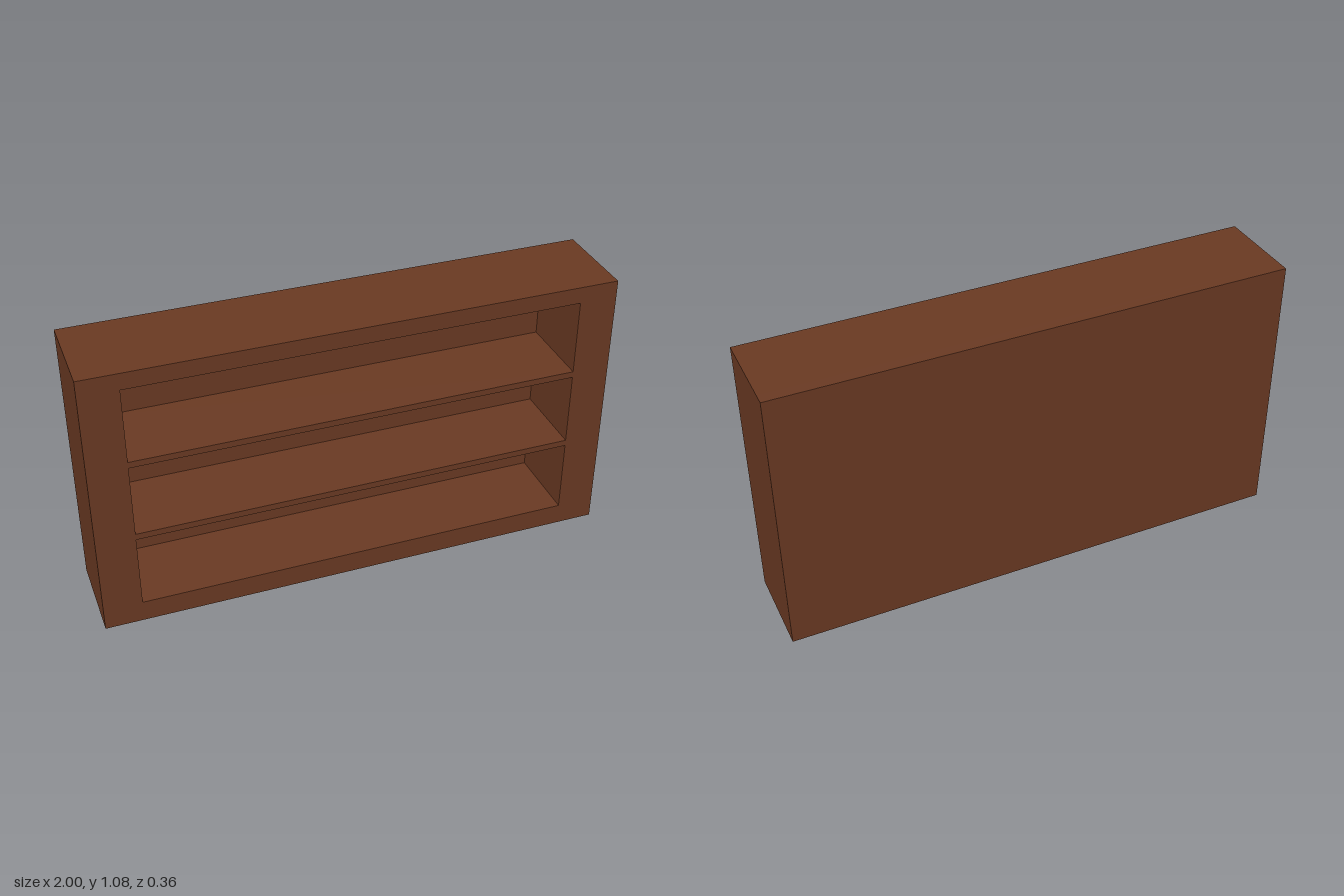
import * as THREE from 'three';

const W = 2, H = 1.08, D = 0.355;      // overall size
const BACK = 0.043;                    // back panel thickness
const OPEN = 0.853;                    // half width of each bay
const BAYS = [[0.085, 0.38], [0.405, 0.695], [0.72, 1.015]]; // bottom and top of each bay

function rect(path, x0, y0, x1, y1) {
  path.moveTo(x0, y0);
  path.lineTo(x1, y0);
  path.lineTo(x1, y1);
  path.lineTo(x0, y1);
  path.closePath();
  return path;
}

export function createModel() {
  const model = new THREE.Group();
  model.name = 'bookcase';
  const wood = new THREE.MeshStandardMaterial({ color: 0x6b3a23 });
  wood.name = 'brown wood';

  function add(name, geometry, x, y, z) {
    const mesh = new THREE.Mesh(geometry, wood);
    mesh.name = name;
    mesh.position.set(x, y, z);
    model.add(mesh);
  }

  // Frame and shelves: one slab pierced by the three bays
  const outline = rect(new THREE.Shape(), -W / 2, 0, W / 2, H);
  for (const [y0, y1] of BAYS) outline.holes.push(rect(new THREE.Path(), -OPEN, y0, OPEN, y1));
  const frame = new THREE.ExtrudeGeometry(outline, { depth: D - BACK, bevelEnabled: false });
  add('frameWithShelves', frame, 0, 0, -D / 2 + BACK);

  // Back panel closing the bays
  add('backPanel', new THREE.BoxGeometry(W, H, BACK), 0, H / 2, -D / 2 + BACK / 2);

  // Cleats on the side walls under both shelves, set back from the front
  const cleat = new THREE.BoxGeometry(0.042, 0.018, 0.23);
  for (const [, top] of BAYS.slice(0, 2)) {
    for (const side of [-1, 1]) {
      add(side > 0 ? 'leftShelfCleat' : 'rightShelfCleat', cleat,
        side * (OPEN - 0.021), top - 0.009, -D / 2 + BACK + 0.115);
    }
  }
  return model;
}
